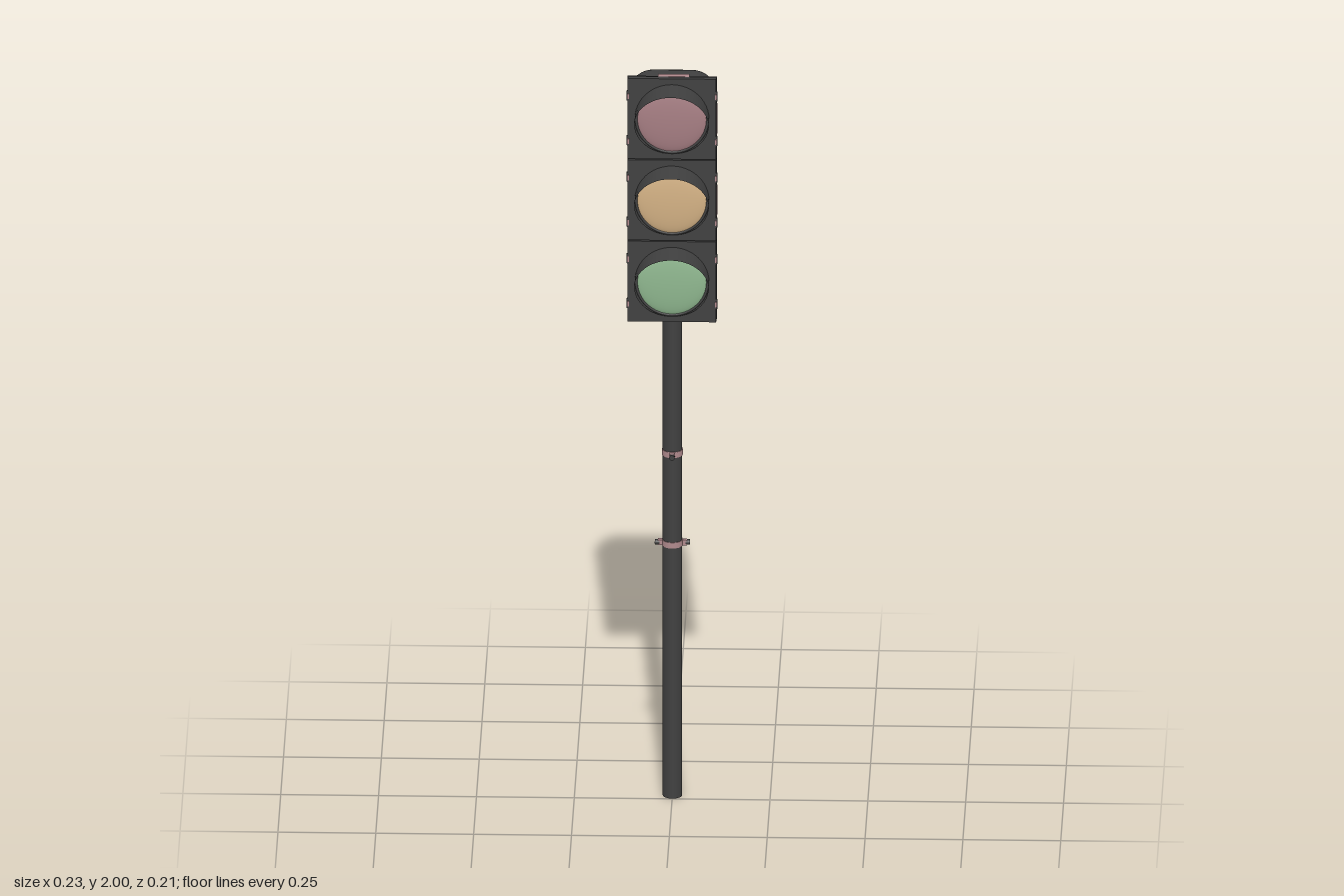
import * as THREE from 'three';

const mat = (name, color, side = THREE.FrontSide) => {
  const m = new THREE.MeshStandardMaterial({ color, side });
  m.name = name;
  return m;
};

// Rounded-back shell: U-shaped sections stacked along y, each row = [y, inset]
function shellGeometry(rows, halfWidth, front, back, radius) {
  const pos = [], idx = [], steps = 10;
  let n = 0;
  for (const [y, inset] of rows) {
    const w = halfWidth - inset, zb = back + inset, r = Math.max(radius - inset, 0.015);
    const half = [[w, front]];
    for (let i = 0; i <= steps; i++) {
      const a = (i / steps) * Math.PI / 2;
      half.push([w - r + r * Math.cos(a), zb + r - r * Math.sin(a)]);
    }
    const ring = half.concat(half.slice().reverse().map(([x, z]) => [-x, z]));
    n = ring.length;
    for (const [x, z] of ring) pos.push(x, y, z);
  }
  for (let j = 0; j < rows.length - 1; j++) {
    for (let i = 0; i < n - 1; i++) {
      const a = j * n + i, c = a + n;
      idx.push(a, a + 1, c, a + 1, c + 1, c);
    }
  }
  // Closing fans at both ends
  const low = pos.length / 3, high = low + 1, last = (rows.length - 1) * n;
  pos.push(0, rows[0][0], front, 0, rows[rows.length - 1][0], front);
  for (let i = 0; i < n - 1; i++) {
    idx.push(i + 1, i, low, last + i, last + i + 1, high);
  }
  const g = new THREE.BufferGeometry();
  g.setAttribute('position', new THREE.Float32BufferAttribute(pos, 3));
  g.setIndex(idx);
  g.computeVertexNormals();
  return g;
}

// Tube along z whose front end is cut by a slanted plane
function visorGeometry(radius, zBack, zTop, zBottom) {
  const g = new THREE.CylinderGeometry(radius, radius, 1, 48, 1, true).rotateX(Math.PI / 2);
  const p = g.attributes.position;
  for (let i = 0; i < p.count; i++) {
    const t = (p.getY(i) / radius + 1) / 2;
    p.setZ(i, p.getZ(i) < 0 ? zBack : zBottom + (zTop - zBottom) * t);
  }
  return g;
}

export function createModel() {
  const root = new THREE.Group();
  root.name = 'trafficLight';

  const dark = mat('dark housing', 0x404040);
  const visorMat = mat('dark visor', 0x404040, THREE.DoubleSide);
  const fitting = mat('pink fittings', 0xb08a8d);
  const lensMats = [mat('green lens', 0x8fb78f), mat('amber lens', 0xd3b184), mat('red lens', 0xa67e83)];

  const add = (parent, name, geometry, material, x = 0, y = 0, z = 0) => {
    const m = new THREE.Mesh(geometry, material);
    m.name = name;
    m.position.set(x, y, z);
    parent.add(m);
    return m;
  };
  const box = (w, h, d) => new THREE.BoxGeometry(w, h, d);

  // Pole
  const poleZ = -0.027;
  add(root, 'pole', new THREE.CylinderGeometry(0.025, 0.025, 1.35, 32), dark, 0, 0.675, poleZ);

  // Pole clamps: band, flanges and bolts, the upper one turned a quarter
  for (const [y, turn] of [[0.95, Math.PI / 2], [0.7, 0]]) {
    const clamp = new THREE.Group();
    clamp.name = 'poleClamp';
    clamp.position.set(0, y, poleZ);
    clamp.rotation.y = turn;
    add(clamp, 'clampBand', new THREE.CylinderGeometry(0.0265, 0.0265, 0.016, 32), fitting);
    for (const s of [1, -1]) {
      add(clamp, 'clampFlange', box(0.014, 0.014, 0.012), fitting, s * 0.03, 0, 0);
      add(clamp, 'clampBolt', new THREE.CylinderGeometry(0.007, 0.007, 0.012, 12).rotateZ(Math.PI / 2),
        dark, s * 0.039, 0, 0);
    }
    root.add(clamp);
  }

  // Housing with slightly raised, rounded end caps
  const bottom = 1.33, top = 1.99, r = 0.05, step = 0.003;
  const rows = [];
  for (let i = 0; i <= 8; i++) {
    const a = (i / 8) * Math.PI / 2;
    rows.push([bottom + r - r * Math.cos(a), r - r * Math.sin(a)]);
  }
  const upper = rows.map(([y, inset]) => [bottom + top - y, inset]).reverse();
  for (const [y, a, b] of [[1.44, 0, step], [1.88, step, 0]]) {
    rows.push([y, a], [y, a], [y, b], [y, b]);
  }
  rows.push(...upper);
  const head = new THREE.Group();
  head.name = 'signalHead';
  root.add(head);
  add(head, 'housing', shellGeometry(rows, 0.109, -0.004, -0.105, 0.062), dark);
  add(head, 'backPlate', box(0.228, 0.667, 0.014), dark, 0, 1.6625, -0.001);

  // Three signal sections from bottom to top
  lensMats.forEach((lensMat, i) => {
    const y = 1.4375 + i * 0.225;
    const section = new THREE.Group();
    section.name = 'signalSection';
    section.position.y = y;
    head.add(section);
    add(section, 'door', box(0.226, 0.222, 0.014), dark, 0, 0, 0.01);
    add(section, 'lensRim', new THREE.TorusGeometry(0.091, 0.004, 8, 48), dark, 0, 0, 0.018);
    add(section, 'visor', visorGeometry(0.095, 0.01, 0.105, 0.02), visorMat);
    add(section, 'lens', new THREE.SphereGeometry(0.09, 40, 10, 0, Math.PI * 2, 0, Math.PI / 2)
      .rotateX(Math.PI / 2).scale(1, 1, 0.15), lensMat, 0, 0, 0.0175);

    // Door latches and hinges on both edges
    for (const s of [1, -1]) {
      for (const dy of [0.062, -0.062]) {
        add(section, 'latch', box(0.005, 0.014, 0.024), fitting, s * 0.1125, dy, 0.008);
        add(section, 'latchPin', new THREE.CylinderGeometry(0.004, 0.004, 0.026, 10),
          dark, s * 0.1125, dy, 0.012);
      }
    }
    // Side cover plate on the two upper sections
    if (i > 0) add(section, 'sidePlate', box(0.006, 0.082, 0.014), fitting, 0.112, -0.008, -0.006);
  });

  // Cover plate on top
  add(head, 'topPlate', box(0.08, 0.006, 0.018), fitting, 0.004, 1.996, -0.006);

  return root;
}
